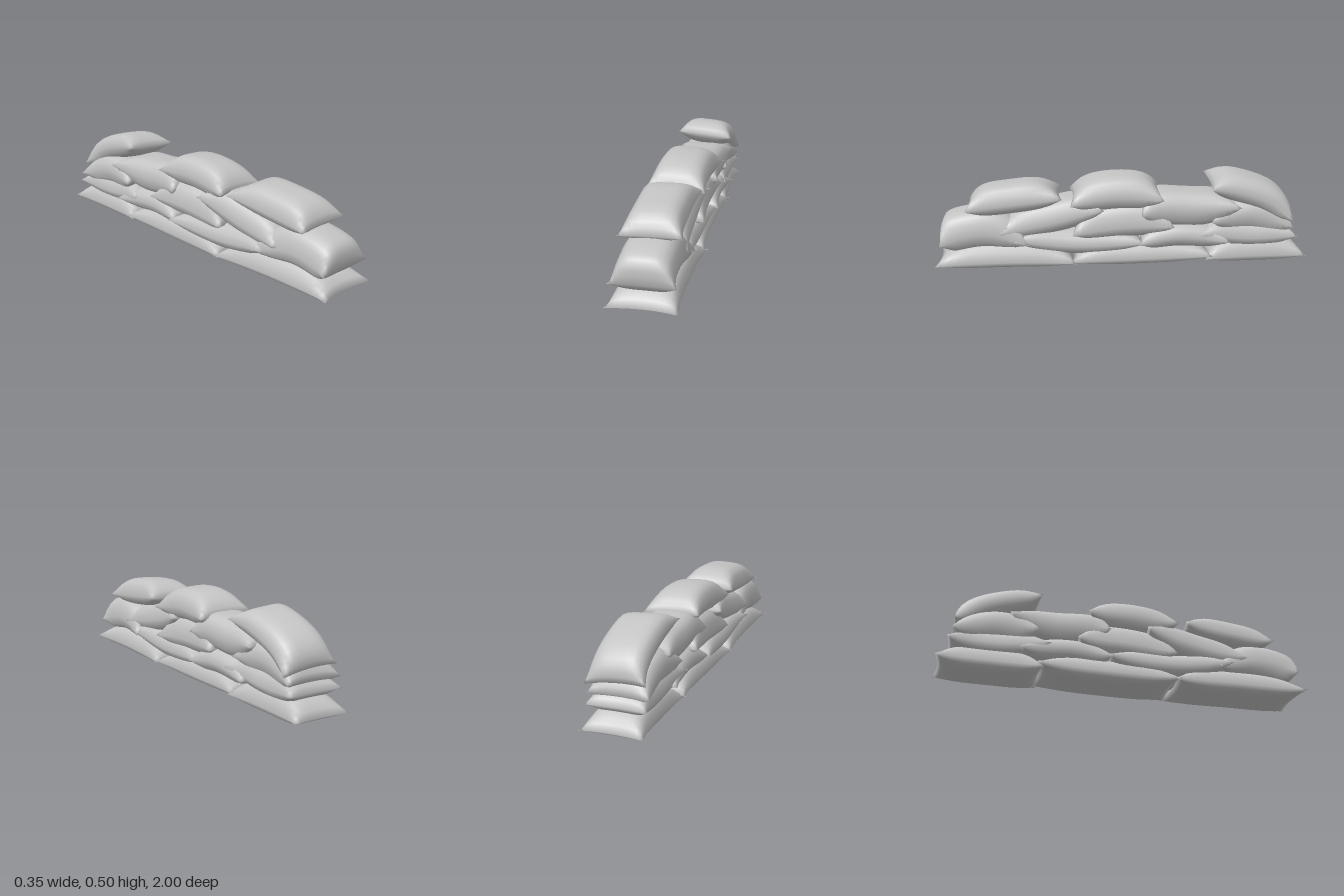
import * as THREE from 'three';
import { mergeVertices } from 'three/addons/utils/BufferGeometryUtils.js';

const fabric = new THREE.MeshStandardMaterial({ color: 0xc4c4c4 });
fabric.name = 'grey sackcloth';

// A stuffed bag: two bulging sheets along a (z, y) spine, sharing a pinched seam
function bagGeometry({ spine, up, down, half = 0.168, roll = 0, dx = 0, skew = 0 }) {
  const curve = new THREE.CatmullRomCurve3(spine.map(([z, y]) => new THREE.Vector3(0, y, z)));
  const N = 16, M = 12, pos = [], idx = [];
  for (const side of [1, -1]) {
    const base = pos.length / 3;
    for (let i = 0; i <= N; i++) {
      for (let j = 0; j <= M; j++) {
        const u = Math.sin(((i / N) * 2 - 1) * Math.PI / 2) * 0.5 + (i / N - 0.5);
        const v = Math.sin(((j / M) * 2 - 1) * Math.PI / 2) * 0.5 + (j / M - 0.5);
        // Corners stick out, the middle of every edge is drawn in
        const un = u * (1 - 0.06 * (1 - v * v));
        const t = (un + 1) / 2;
        const p = curve.getPoint(t), tan = curve.getTangent(t);
        const x = v * half * (1 - 0.12 * (1 - u ** 4));
        const bulge = Math.pow(Math.max(0, 1 - u ** 4), 0.8) * Math.pow(Math.max(0, 1 - v ** 4), 0.6);
        const h = side * (side > 0 ? up : down) * bulge;
        // Spines run towards -z, so the upward normal is (y: -tan.z, z: tan.y)
        pos.push(x + dx + skew * u, p.y - tan.z * h + roll * x, p.z + tan.y * h);
      }
    }
    for (let i = 0; i < N; i++) {
      for (let j = 0; j < M; j++) {
        const a = base + i * (M + 1) + j, b = a + 1, c = a + M + 1, d = c + 1;
        if (side > 0) idx.push(a, b, c, b, d, c);
        else idx.push(a, c, b, b, c, d);
      }
    }
  }
  let g = new THREE.BufferGeometry();
  g.setAttribute('position', new THREE.Float32BufferAttribute(pos, 3));
  g.setIndex(idx);
  g = mergeVertices(g, 1e-5);
  g.computeVertexNormals();
  return g;
}

const courses = {
  bottomBag: [
    { spine: [[1, 0.05], [0.62, 0.055], [0.25, 0.045]], up: 0.1, down: 0.045, half: 0.175 },
    { spine: [[0.28, 0.045], [-0.1, 0.05], [-0.49, 0.06]], up: 0.09, down: 0.045, dx: -0.005, skew: 0.004 },
    { spine: [[-0.45, 0.045], [-0.72, 0.05], [-1, 0.05]], up: 0.1, down: 0.045, half: 0.16 },
  ],
  lowerBag: [
    { spine: [[0.97, 0.16], [0.88, 0.19], [0.72, 0.21], [0.5, 0.15]], up: 0.12, down: 0.09, half: 0.163 },
    { spine: [[0.58, 0.17], [0.25, 0.13], [-0.12, 0.14]], up: 0.08, down: 0.06, dx: -0.008 },
    { spine: [[-0.09, 0.14], [-0.3, 0.17], [-0.58, 0.14]], up: 0.07, down: 0.07, dx: 0.004 },
    { spine: [[-0.42, 0.18], [-0.7, 0.15], [-0.95, 0.16]], up: 0.09, down: 0.06, half: 0.158 },
  ],
  upperBag: [
    { spine: [[0.66, 0.21], [0.38, 0.26], [0.1, 0.33]], up: 0.1, down: 0.07, half: 0.158, dx: -0.006 },
    { spine: [[0.27, 0.2], [0, 0.23], [-0.28, 0.23]], up: 0.12, down: 0.07, half: 0.16 },
    { spine: [[-0.1, 0.3], [-0.2, 0.32], [-0.4, 0.31], [-0.64, 0.33]], up: 0.09, down: 0.1, half: 0.16, dx: 0.005 },
    { spine: [[-0.48, 0.25], [-0.7, 0.28], [-0.93, 0.21]], up: 0.08, down: 0.1, half: 0.16, dx: -0.005 },
  ],
  topBag: [
    { spine: [[0.83, 0.34], [0.6, 0.365], [0.32, 0.395]], up: 0.1, down: 0.06, half: 0.158, dx: 0.003, roll: 0.03 },
    { spine: [[0.28, 0.37], [0.03, 0.405], [-0.22, 0.39]], up: 0.095, down: 0.08, half: 0.16, dx: 0.008, roll: -0.05, skew: 0.006 },
    { spine: [[-0.47, 0.45], [-0.62, 0.425], [-0.8, 0.36], [-0.92, 0.26]], up: 0.075, down: 0.07, half: 0.158, dx: 0.015, roll: -0.08 },
  ],
};

export function createModel() {
  const group = new THREE.Group();
  group.name = 'sandbagWall';
  for (const [name, bags] of Object.entries(courses)) {
    bags.forEach((bag, i) => {
      const mesh = new THREE.Mesh(bagGeometry(bag), fabric);
      mesh.name = `${name}${i + 1}`;
      group.add(mesh);
    });
  }
  return group;
}
